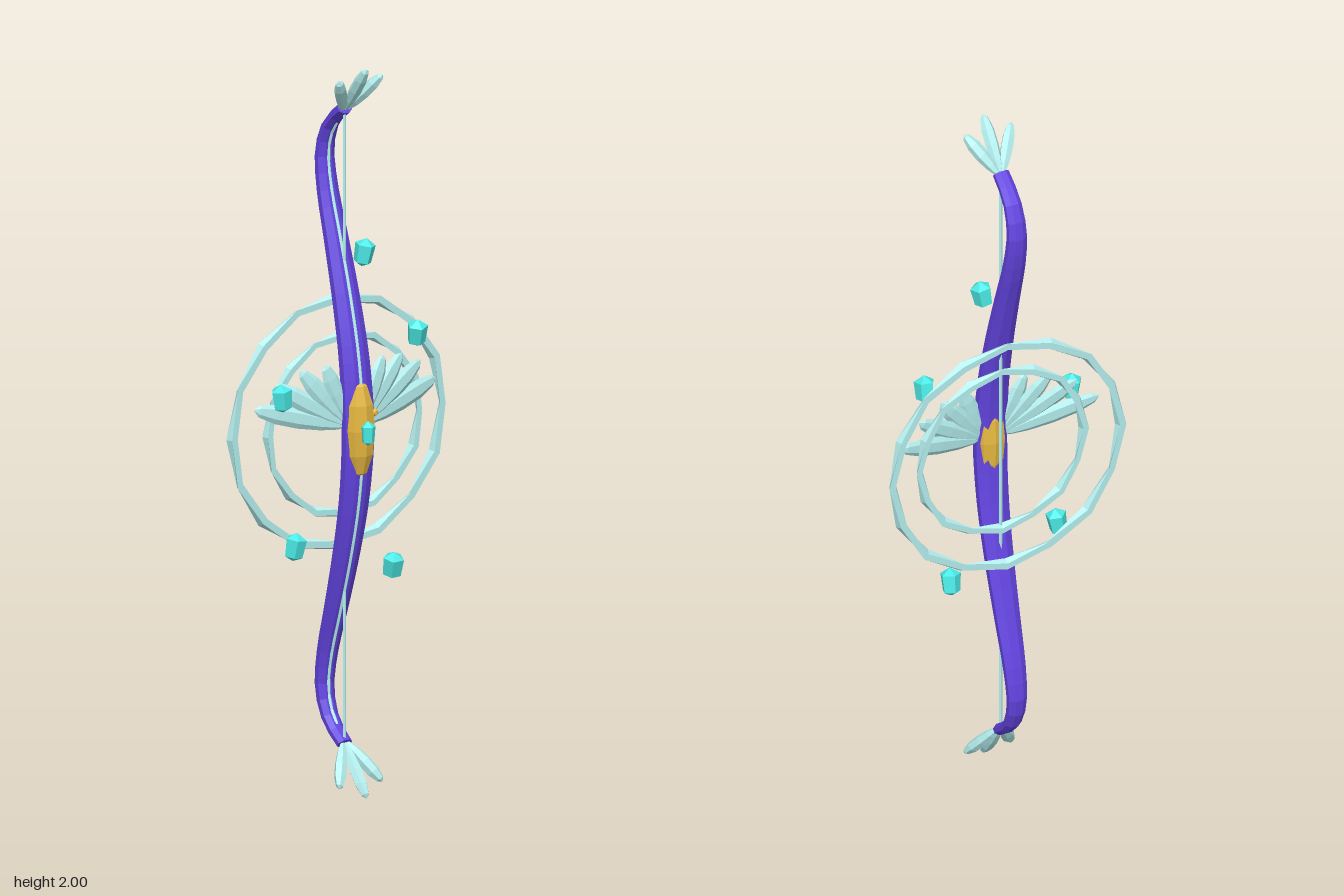
import * as THREE from 'three';

const mat = (color) => new THREE.MeshStandardMaterial({ color, flatShading: true });
const V = (x, y, z) => new THREE.Vector3(x, y, z);

// Skin over cross-sections: fn(i, j) gives point j of section i
function loft(sections, sides, fn) {
  const pos = [], index = [];
  for (let i = 0; i <= sections; i++)
    for (let j = 0; j < sides; j++) pos.push(...fn(i, j).toArray());
  for (let i = 0; i < sections; i++)
    for (let j = 0; j < sides; j++) {
      const a = i * sides + j, d = i * sides + (j + 1) % sides;
      index.push(a, a + sides, d, d, a + sides, d + sides);
    }
  const g = new THREE.BufferGeometry();
  g.setAttribute('position', new THREE.Float32BufferAttribute(pos, 3));
  g.setIndex(index);
  g.computeVertexNormals();
  return g;
}

export function createModel() {
  const model = new THREE.Group();
  const purple = mat(0x6344e0), pale = mat(0xb4eeee), gold = mat(0xe6b840), cyan = mat(0x4ceae6);

  const add = (name, geo, material, parent = model) => {
    const m = new THREE.Mesh(geo, material);
    m.name = name;
    parent.add(m);
    return m;
  };

  // Recurved bow body: upper half profile (y, z), mirrored about y = 1
  const half = [[1.18, 0.038], [1.34, 0.002], [1.5, -0.045], [1.64, -0.088],
    [1.74, -0.1], [1.82, -0.07], [1.872, -0.008]];
  const pts = [
    ...half.slice().reverse().map(([y, z]) => V(0, 2 - y, z)),
    V(0, 1, 0.054),
    ...half.map(([y, z]) => V(0, y, z)),
  ];
  const path = new THREE.CatmullRomCurve3(pts);
  const SEG = 40;
  const frame = (u) => {
    const p = path.getPointAt(u), t = path.getTangentAt(u);
    const k = Math.abs(p.y - 1) / 0.872;
    return { p, n: V(0, -t.z, t.y), k, depth: 0.026 - 0.009 * k ** 2 };
  };
  add('bowBody', loft(SEG + 2, 8, (i, j) => {
    const { p, n, k, depth } = frame(THREE.MathUtils.clamp((i - 1) / SEG, 0, 1));
    const open = i === 0 || i === SEG + 2 ? 0 : 1; // closed ends
    const a = (j + 0.5) / 8 * Math.PI * 2;
    const w = 0.05 - 0.027 * k ** 1.3;
    return p.addScaledVector(n, Math.sin(a) * depth * open).add(V(Math.cos(a) * w * open, 0, 0));
  }), purple);

  // Thin pale inlay along the front face
  const inlay = Array.from({ length: 31 }, (_, i) => {
    const { p, n, depth } = frame(0.03 + 0.94 * i / 30);
    return p.addScaledVector(n, depth * 0.92);
  });
  add('inlay', new THREE.TubeGeometry(new THREE.CatmullRomCurve3(inlay), 40, 0.005, 4), pale);

  // Bowstring
  add('bowstring', new THREE.CylinderGeometry(0.005, 0.005, 1.744, 4), pale).position.set(0, 1, -0.008);

  // Flat faceted rings whose front and back edges sway in and out
  const corners = [[1, -1], [1, 1], [-1, 1], [-1, -1]];
  const ring = (name, R, r, z) => add(name, loft(16, 4, (i, j) => {
    const u = i / 16 * Math.PI * 2, [side, face] = corners[j];
    const q = R + r * side + 0.004 * face * (i % 2 ? 1 : -1);
    return V(q * Math.cos(u), 1.005 + q * Math.sin(u), z + 0.008 * face);
  }), pale);
  ring('outerRing', 0.34, 0.009, -0.042);
  ring('innerRing', 0.245, 0.008, -0.013);

  // Leaf-shaped feather between two points, widest beyond its middle
  const feather = (name, from, to, w, t, parent) => {
    const y = to.clone().sub(from), L = y.length();
    y.normalize();
    const x = y.clone().cross(V(0, 0, 1)).normalize();
    const geo = new THREE.SphereGeometry(1, 6, 6), p = geo.attributes.position;
    for (let i = 0; i < p.count; i++) {
      const f = 1 + 0.2 * p.getY(i);
      p.setXYZ(i, p.getX(i) * w * f, p.getY(i) * L / 2, p.getZ(i) * t * f);
    }
    geo.applyMatrix4(new THREE.Matrix4().makeBasis(x, y, x.clone().cross(y)));
    add(name, geo, pale, parent).position.copy(from).lerp(to, 0.5);
  };

  // Wings
  const tips = [[0.295, 1.088], [0.237, 1.148], [0.165, 1.182], [0.095, 1.19]];
  for (const s of [1, -1]) {
    const wing = new THREE.Group();
    wing.name = s > 0 ? 'leftWing' : 'rightWing';
    tips.forEach(([x, y], i) => feather('wingFeather',
      V(s * (0.035 - i * 0.003), 1.015 + i * 0.004, 0.045),
      V(s * x, y, 0.048 - 0.21 * (x - 0.035)), 0.028 - i * 0.001, 0.01, wing));
    model.add(wing);
  }

  // Feather tufts at both ends
  for (const s of [1, -1]) {
    const tuft = new THREE.Group();
    tuft.name = s > 0 ? 'upperTuft' : 'lowerTuft';
    for (const k of [-1, 0, 1])
      feather('tuftFeather', V(k * 0.004, 1 + s * 0.865, -0.01),
        V(k * 0.07, 1 + s * (k ? 0.97 : 1), k ? 0.068 : 0.095), 0.019, 0.016, tuft);
    model.add(tuft);
  }

  // Golden grip with a small stud and its gem
  add('grip', new THREE.SphereGeometry(1, 8, 6).scale(0.046, 0.138, 0.04), gold).position.set(0, 1.006, 0.058);
  add('gripStud', new THREE.IcosahedronGeometry(0.012), gold).position.set(0.037, 1.05, 0.076);
  const gemGeo = (r, h) => new THREE.LatheGeometry(
    [[0, -h], [r * 0.85, -h * 0.7], [r, h * 0.55], [0, h]].map(([x, y]) => new THREE.Vector2(x, y)), 5);
  add('gripGem', gemGeo(0.021, 0.034), cyan).position.set(0, 1.003, 0.1);

  // Floating crystals
  const spots = [[0.035, 1.48, 0.032], [0.207, 1.233, 0.03], [-0.228, 1.118, 0.028],
    [-0.187, 0.705, 0.03], [0.13, 0.607, 0.03]];
  spots.forEach(([x, y, z], i) => {
    const c = add('crystal', gemGeo(0.029, 0.039), cyan);
    c.position.set(x, y, z);
    c.rotation.set(0.1, i * 1.1, 0.15 * (i % 2 ? 1 : -1));
  });
  return model;
}
